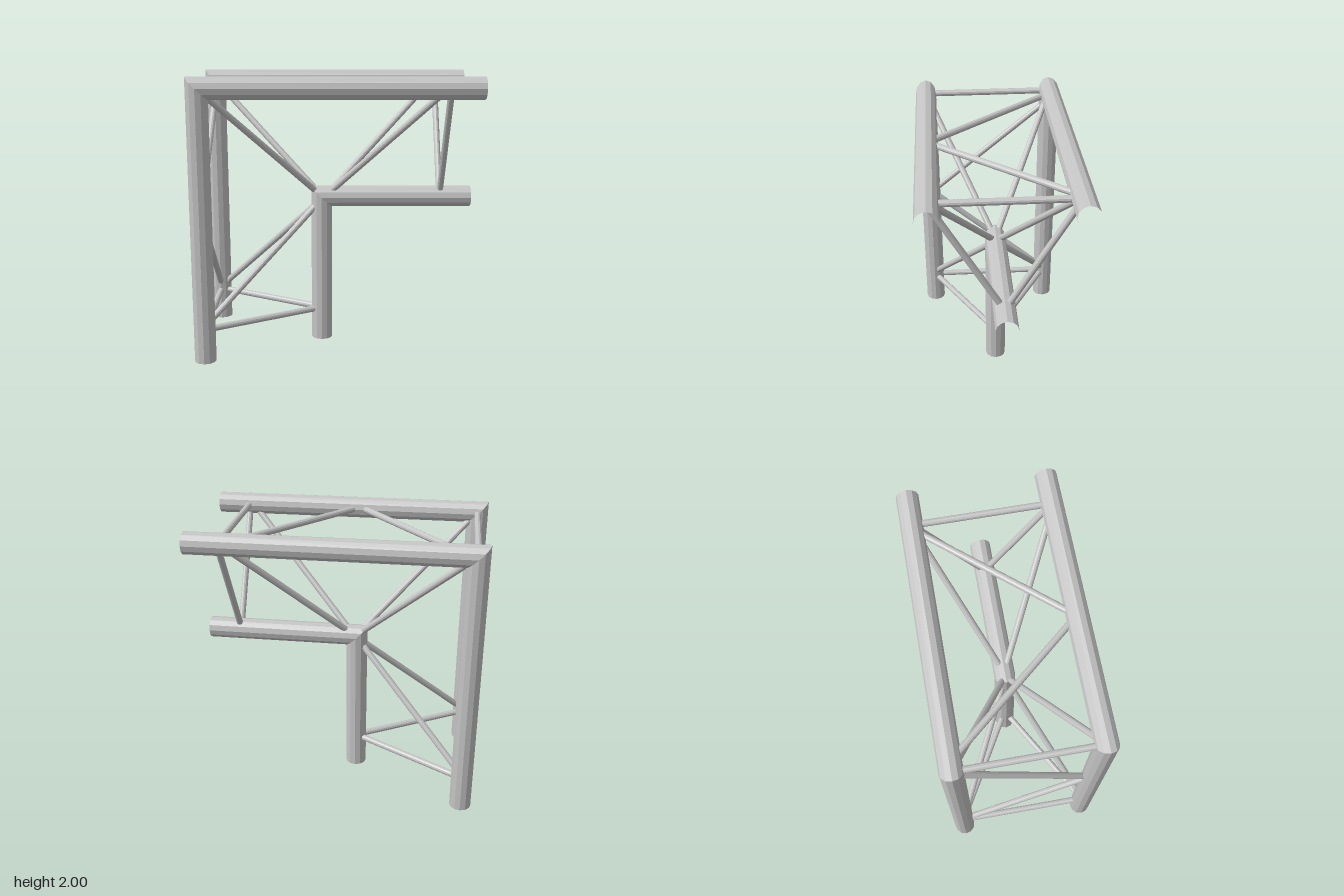
import * as THREE from 'three';

const R = 0.077;          // chord radius
const r = 0.023;          // brace radius
const SIDES = 12;
const OUT = { x: -0.923, y: 1.923, z: 0.477 };  // outer corner axes
const INN = { x: -0.098, y: 1.098, z: 0 };      // inner corner axes

export function createModel() {
  const metal = new THREE.MeshStandardMaterial({ color: 0xc4c4c4 });
  metal.name = 'aluminium';
  const model = new THREE.Group();
  model.name = 'cornerTruss';

  // Adds a faceted mesh
  const add = (name, geometry) => {
    const flat = geometry.toNonIndexed();
    flat.computeVertexNormals();
    const mesh = new THREE.Mesh(flat, metal);
    mesh.name = name;
    model.add(mesh);
    return mesh;
  };

  // Moves vertices by a rule
  const bend = (geometry, rule) => {
    const p = geometry.attributes.position;
    for (let i = 0; i < p.count; i++) p.setXYZ(i, ...rule(p.getX(i), p.getY(i), p.getZ(i)));
    return geometry;
  };

  // Mitred pair of hollow chords: a leg and a horizontal run meeting at 45 degrees
  const corner = (name, c, z) => {
    const tube = () => new THREE.CylinderGeometry(R, R, 1, SIDES, 1, true);
    add(name + 'Leg', bend(tube(), (x, y, w) => [c.x + x, y > 0 ? c.y - x : 0, z + w]));
    add(name + 'Run', bend(tube().rotateZ(-Math.PI / 2),
      (x, y, w) => [x > 0 ? 1 : c.x - y, c.y + y, z + w]));
    // inner wall at the mitre
    add(name + 'Mitre', bend(new THREE.CircleGeometry(R, SIDES).rotateX(-Math.PI / 2),
      (x, y, w) => [c.x + x, c.y - x, z + w]));
  };
  corner('frontOuter', OUT, OUT.z);
  corner('backOuter', OUT, -OUT.z);
  corner('inner', INN, 0);

  // Thin tube between two points
  const up = new THREE.Vector3(0, 1, 0);
  const brace = (name, from, to) => {
    const a = new THREE.Vector3(...from), b = new THREE.Vector3(...to);
    const d = b.clone().sub(a);
    const mesh = add(name, new THREE.CylinderGeometry(r, r, d.length(), SIDES, 1, true));
    mesh.position.copy(a).add(b).multiplyScalar(0.5);
    mesh.quaternion.setFromUnitVectors(up, d.normalize());
  };

  // Braces between each outer chord and the inner chord
  for (const s of [1, -1]) {
    const z = s * OUT.z;
    brace('lowerStrut', [OUT.x, 0.23, z], [INN.x, 0.23, 0]);
    brace('lowerDiagonal', [OUT.x, 0.25, z], [INN.x, 1.075, 0]);
    brace('cornerDiagonal', [OUT.x, OUT.y, z], [INN.x, INN.y, 0]);
    brace('upperDiagonal', [0.755, OUT.y, z], [-0.07, INN.y, 0]);
    brace('endStrut', [0.775, OUT.y, z], [0.775, INN.y, 0]);
  }

  // Cross bars between the two outer chords
  for (const [x, y] of [[OUT.x, 0.23], [OUT.x, OUT.y], [0.775, OUT.y]])
    brace('crossBar', [x, y, OUT.z], [x, y, -OUT.z]);

  // Zigzag diagonals on the outer vertical and top faces
  brace('sideDiagonal', [OUT.x, 1.07, OUT.z], [OUT.x, 0.255, -OUT.z]);
  brace('sideDiagonal', [OUT.x, 1.055, OUT.z], [OUT.x, 1.85, -OUT.z]);
  brace('topDiagonal', [-0.055, OUT.y, OUT.z], [-0.865, OUT.y, -OUT.z]);
  brace('topDiagonal', [-0.065, OUT.y, OUT.z], [0.745, OUT.y, -OUT.z]);

  return model;
}
